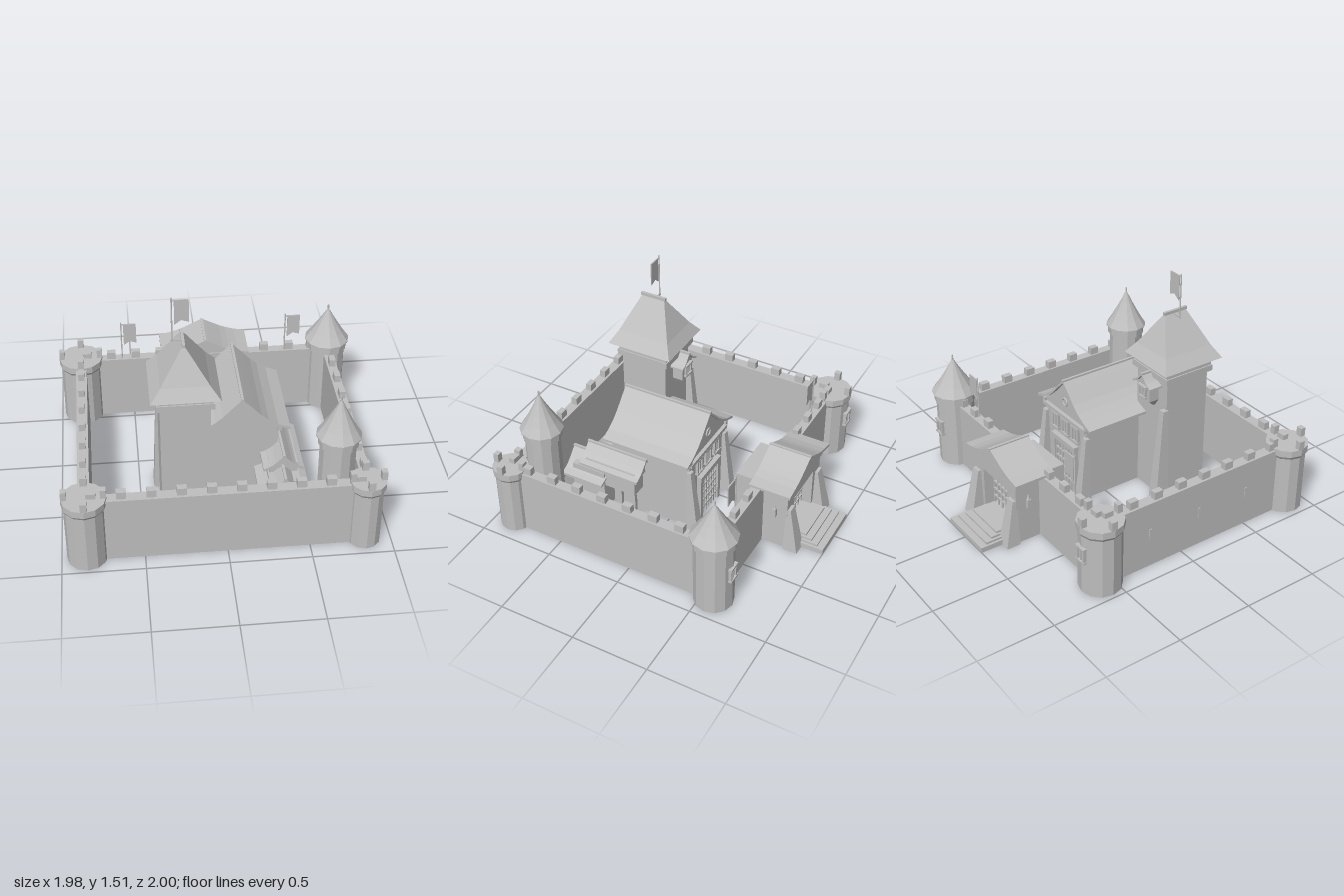
import * as THREE from 'three';

export function createModel() {
  const root = new THREE.Group();
  root.name = 'castle';
  const stone = new THREE.MeshStandardMaterial({ color: 0xbfbfbf, flatShading: true });
  stone.name = 'grey stone';

  function add(name, geo, x = 0, y = 0, z = 0, parent = root) {
    const m = new THREE.Mesh(geo, stone);
    m.name = name;
    m.position.set(x, y, z);
    parent.add(m);
    return m;
  }
  // box given by its limits
  const box = (name, x0, x1, y0, y1, z0, z1, parent) =>
    add(name, new THREE.BoxGeometry(x1 - x0, y1 - y0, z1 - z0), (x0 + x1) / 2, (y0 + y1) / 2, (z0 + z1) / 2, parent);
  const cyl = (name, r0, r1, y0, y1, x, z, n = 12) =>
    add(name, new THREE.CylinderGeometry(r1, r0, y1 - y0, n), x, (y0 + y1) / 2, z);

  // tapered block from a bottom and a top rectangle [x0, x1, z0, z1]
  function taper(name, y0, y1, b, t) {
    const g = new THREE.BoxGeometry(1, 1, 1), p = g.attributes.position;
    for (let i = 0; i < p.count; i++) {
      const r = p.getY(i) > 0 ? t : b;
      p.setXYZ(i, p.getX(i) > 0 ? r[1] : r[0], p.getY(i) > 0 ? y1 : y0, p.getZ(i) > 0 ? r[3] : r[2]);
    }
    g.computeVertexNormals();
    return add(name, g);
  }
  function extrude(name, pts, z0, z1, x = 0) {
    const s = new THREE.Shape(pts.map(p => new THREE.Vector2(p[0], p[1])));
    return add(name, new THREE.ExtrudeGeometry(s, { depth: z1 - z0, bevelEnabled: false }), x, 0, z0);
  }

  // curved gable roof, with the gabled wall block beneath it
  function gableRoof(name, x, half, eave, ridge, z0, z1, t = 0.018) {
    const curve = [[0, 1], [0.12, 0.84], [0.25, 0.66], [0.4, 0.45], [0.55, 0.28], [0.75, 0.12], [1, 0]];
    const side = curve.map(([u, f]) => [u * half, eave + (ridge - eave) * f]);
    const top = [...side.slice(1).reverse().map(([a, b]) => [-a, b]), ...side];
    extrude(name, [...top, ...top.map(([a, b]) => [a, b - t]).reverse()], z0, z1, x);
    box(name + 'Ridge', x - 0.008, x + 0.008, ridge - 0.012, ridge + 0.004, z0 - 0.003, z1 + 0.003);
    const inner = top.filter(p => Math.abs(p[0]) < half * 0.8).map(([a, b]) => [a, b - t * 0.7]);
    extrude(name + 'Gable', [...inner, [half * 0.74, eave - t], [-half * 0.74, eave - t]], z0 + 0.02, z1 - 0.02, x);
  }

  // framed window standing on a wall that faces -z
  function windowBack(x, y, z, w, h) {
    box('windowPane', x - w / 2, x + w / 2, y, y + h, z - 0.006, z + 0.02);
    for (const s of [-1, 1]) box('windowJamb', x + s * w / 2 - 0.007, x + s * w / 2 + 0.007, y, y + h, z - 0.016, z + 0.02);
    box('windowMullion', x - 0.004, x + 0.004, y, y + h, z - 0.012, z);
    box('windowSill', x - w / 2 - 0.012, x + w / 2 + 0.012, y - 0.012, y, z - 0.02, z + 0.02);
    box('windowLintel', x - w / 2 - 0.012, x + w / 2 + 0.012, y + h, y + h + 0.012, z - 0.02, z + 0.02);
  }
  // barred gate
  function portcullis(x, half, y0, y1, z) {
    for (let i = 0; i <= 6; i++) {
      const bx = x - half + (i * half) / 3;
      box('gateBar', bx - 0.005, bx + 0.005, y0, y1, z - 0.005, z + 0.005);
    }
    for (let i = 1; i <= 4; i++) {
      const by = y0 + ((y1 - y0) * i) / 5;
      box('gateCrossbar', x - half, x + half, by - 0.005, by + 0.005, z - 0.008, z + 0.004);
    }
  }
  // pole with a swallow-tailed banner
  function flag(x, y0, y1, z) {
    cyl('flagPole', 0.005, 0.005, y0, y1, x, z, 6);
    box('flagArm', x, x + 0.1, y1 - 0.022, y1 - 0.014, z - 0.004, z + 0.004);
    const t = y1 - 0.02;
    extrude('flagCloth', [[0.015, t], [0.015, t - 0.16], [0.055, t - 0.13], [0.1, t - 0.145], [0.1, t]], z - 0.003, z + 0.003, x);
  }

  // curtain walls
  box('frontWall', -0.845, 0.835, 0, 0.45, 0.825, 0.895);
  box('backWall', -0.845, 0.835, 0, 0.45, -0.605, -0.54);
  box('leftWall', 0.8, 0.865, 0, 0.45, -0.575, 0.86);
  box('rightWall', -0.88, -0.81, 0, 0.45, -0.575, 0.86);
  for (let i = 0; i < 10; i++) {
    const x = -0.803 + i * 0.177;
    box('merlon', x - 0.029, x + 0.029, 0.45, 0.5, 0.84, 0.88);
  }
  for (const x of [-0.8, -0.64, -0.475, -0.31, 0.4, 0.57, 0.725])
    box('merlon', x - 0.029, x + 0.029, 0.45, 0.5, -0.592, -0.553);
  for (let i = 0; i < 8; i++) {
    const z = -0.528 + i * 0.179;
    for (const x of [-0.845, 0.833]) box('merlon', x - 0.02, x + 0.02, 0.45, 0.5, z - 0.03, z + 0.03);
  }
  for (const z of [-0.24, 0.13, 0.5]) box('arrowSlit', -0.886, -0.87, 0.2, 0.27, z - 0.008, z + 0.008);

  // open corner towers
  for (const [x, z, r] of [[-0.845, 0.86, 0.135], [0.835, 0.86, 0.113], [-0.845, -0.575, 0.145]]) {
    cyl('towerBody', r - 0.012, r - 0.012, 0, 0.42, x, z);
    cyl('towerFlare', r - 0.012, r, 0.4, 0.42, x, z);
    cyl('towerTop', r, r, 0.42, 0.465, x, z);
    for (let i = 0; i < 4; i++) {
      const a = (i * Math.PI) / 2;
      const m = add('towerMerlon', new THREE.BoxGeometry(0.035, 0.06, 0.04), x + Math.cos(a) * (r - 0.02), 0.493, z + Math.sin(a) * (r - 0.02));
      m.rotation.y = -a;
    }
  }
  // roofed towers
  for (const [x, z, r, e, p] of [[0.835, -0.575, 0.15, 0.515, 0.78], [0.67, 0.715, 0.137, 0.7, 0.98]]) {
    const b = r - 0.025, h = p - 0.035 - e;
    cyl('roundTowerBody', b, b, 0, e - 0.04, x, z);
    cyl('roundTowerCollar', b + 0.012, b + 0.012, e - 0.055, e + 0.02, x, z);
    const prof = [[0, 0], [r, 0], [r, 0.03], [r * 0.74, 0.26], [r * 0.5, 0.5], [r * 0.25, 0.77], [0.008, 1], [0, 1]];
    add('roundTowerRoof', new THREE.LatheGeometry(prof.map(q => new THREE.Vector2(q[0], q[1] * h)), 12), x, e, z);
    cyl('roundTowerFinial', 0.006, 0.006, p - 0.05, p, x, z, 6);
  }
  windowBack(0.835, 0.235, -0.693, 0.06, 0.08);
  windowBack(-0.845, 0.235, -0.704, 0.06, 0.08);

  // great keep
  box('keepBody', -0.375, -0.073, 0, 0.87, 0.262, 0.577);
  box('keepCornice', -0.398, -0.048, 0.85, 0.89, 0.238, 0.6);
  box('keepParapet', -0.39, -0.056, 0.89, 0.945, 0.246, 0.592);
  taper('keepRoofSkirt', 0.94, 1.02, [-0.432, -0.015, 0.2, 0.647], [-0.37, -0.077, 0.247, 0.6]);
  taper('keepRoof', 1.02, 1.24, [-0.37, -0.077, 0.247, 0.6], [-0.229, -0.217, 0.345, 0.503]);
  box('keepRidge', -0.232, -0.214, 1.235, 1.255, 0.337, 0.513);
  box('flagBracket', -0.29, -0.22, 1.225, 1.235, 0.41, 0.42);
  flag(-0.283, 1.22, 1.515, 0.415);
  taper('keepButtress', 0, 0.66, [-0.41, -0.33, 0.17, 0.27], [-0.385, -0.345, 0.23, 0.27]);

  // oriel on the keep
  box('orielBody', -0.29, -0.17, 0.7, 0.82, 0.19, 0.265);
  taper('orielCorbel', 0.65, 0.7, [-0.26, -0.2, 0.245, 0.265], [-0.29, -0.17, 0.19, 0.265]);
  gableRoof('orielRoof', -0.23, 0.09, 0.81, 0.885, 0.17, 0.265, 0.012);
  windowBack(-0.23, 0.73, 0.19, 0.06, 0.06);

  // great hall
  box('hallBody', -0.09, 0.36, 0, 0.55, -0.15, 0.41);
  gableRoof('hallRoof', 0.132, 0.298, 0.552, 0.78, -0.177, 0.432);
  for (const s of [-1, 1]) box('hallEaveBeam', 0.132 + s * 0.235 - 0.012, 0.132 + s * 0.235 + 0.012, 0.52, 0.55, -0.17, 0.42);
  for (const x of [-0.095, 0.36]) taper('hallButtress', 0, 0.46, [x - 0.035, x + 0.035, -0.225, -0.14], [x - 0.02, x + 0.02, -0.17, -0.14]);
  box('hallTieBeam', -0.1, 0.37, 0.5, 0.525, -0.175, -0.14);
  portcullis(0.132, 0.1, 0, 0.3, -0.162);
  for (const s of [-1, 1]) box('hallGateJamb', 0.132 + s * 0.115 - 0.014, 0.132 + s * 0.115 + 0.014, 0, 0.32, -0.18, -0.14);
  box('hallGateLintel', 0.0, 0.264, 0.31, 0.345, -0.185, -0.14);
  for (const x of [0.02, 0.132, 0.244]) windowBack(x, 0.39, -0.152, 0.06, 0.09);
  add('hallRoseWindow', new THREE.TorusGeometry(0.026, 0.006, 6, 12), 0.132, 0.62, -0.16);

  // timber side house beside the hall
  box('sideHouseBody', 0.28, 0.475, 0, 0.3, 0.41, 0.645);
  gableRoof('sideHouseRoof', 0.37, 0.157, 0.24, 0.36, 0.4, 0.695);
  box('sideWingBody', 0.29, 0.465, 0.2, 0.37, 0.19, 0.55);
  gableRoof('sideWingRoof', 0.375, 0.125, 0.35, 0.445, 0.15, 0.578);
  for (const z of [0.2, 0.3]) box('sideWingPost', 0.44, 0.465, 0, 0.2, z - 0.012, z + 0.012);

  // gatehouse: hollow entrance, gate, roof and steps
  for (const s of [-1, 1]) {
    box('gatehousePier', s * 0.19 - 0.05, s * 0.19 + 0.05, 0, 0.46, -0.77, -0.54);
    taper('gateButtress', 0.0, 0.31, [s * 0.21 - 0.05, s * 0.21 + 0.05, -0.855, -0.76], [s * 0.205 - 0.03, s * 0.205 + 0.03, -0.79, -0.76]);
    const lamp = s * 0.25;
    box('wallTorch', lamp - 0.012, lamp + 0.012, 0.24, 0.3, -0.7, -0.675);
    cyl('torchFlame', 0.012, 0.003, 0.3, 0.335, lamp, -0.688, 6);
  }
  box('gatehouseLintel', -0.14, 0.14, 0.34, 0.46, -0.77, -0.54);
  box('gatehouseFloor', -0.14, 0.14, 0, 0.07, -0.8, -0.54);
  box('gatehouseInnerBlock', -0.18, 0.17, 0, 0.4, -0.66, -0.38);
  portcullis(0, 0.135, 0.07, 0.34, -0.7);
  gableRoof('gatehouseRoof', -0.005, 0.297, 0.465, 0.575, -0.803, -0.527);
  const halves = [0.193, 0.177, 0.16, 0.145];
  halves.forEach((h, i) => box('gateStep', -0.005 - h, -0.005 + h, 0, 0.034 + i * 0.013, -1 + i * 0.045, -0.76));

  // wall flags
  flag(-0.567, 0.44, 0.735, -0.56);
  flag(0.54, 0.44, 0.735, -0.56);

  return root;
}
